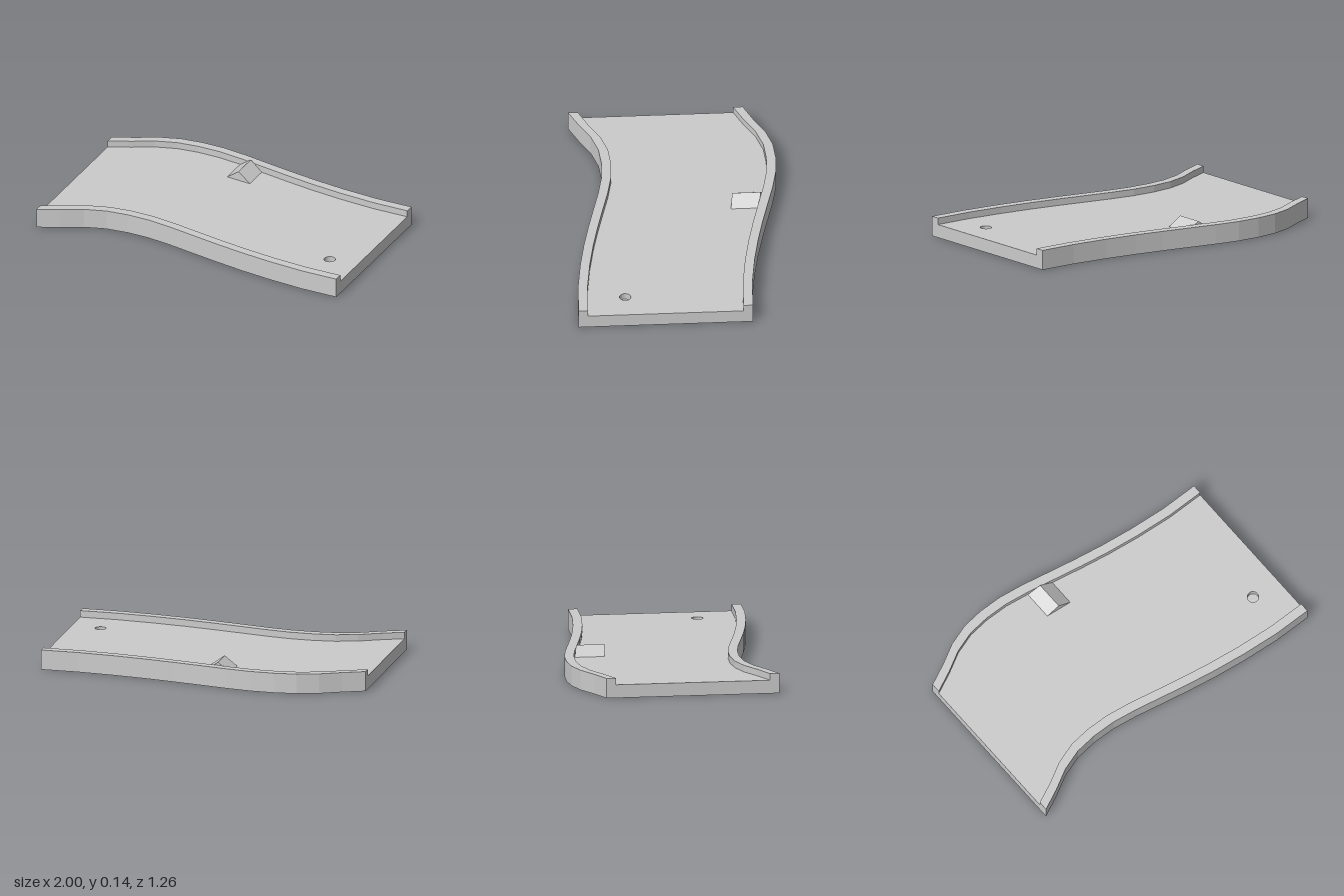
import * as THREE from 'three';

const WIDTH = 1.04, RIM = 0.057, FLOOR = 0.08, TOP = 0.12;

// Back edge of the tray in plan, as [x, z]
const EDGE = [
  [-1, -0.465], [-0.87, -0.521], [-0.745, -0.585], [-0.615, -0.623], [-0.48, -0.633],
  [-0.335, -0.625], [-0.18, -0.597], [-0.01, -0.557], [0.16, -0.518], [0.34, -0.481],
  [0.54, -0.448], [0.77, -0.421], [1, -0.412],
];

// U-shaped section, as [z offset from the back edge, y]
const SECTION = [
  [0, 0], [WIDTH, 0], [WIDTH, TOP], [WIDTH - RIM, TOP],
  [WIDTH - RIM, FLOOR], [RIM, FLOOR], [RIM, TOP], [0, TOP],
];
const FLOOR_SIDE = 4;

function facets(quadsAndTris) {
  const pos = [];
  for (const f of quadsAndTris) {
    for (let i = 1; i < f.length - 1; i++) pos.push(...f[0], ...f[i], ...f[i + 1]);
  }
  const g = new THREE.BufferGeometry();
  g.setAttribute('position', new THREE.Float32BufferAttribute(pos, 3));
  g.computeVertexNormals();
  return g;
}

export function createModel() {
  const model = new THREE.Group();
  const material = new THREE.MeshStandardMaterial({ color: 0xcccccc, flatShading: true });
  const add = (name, geometry, mat = material) => {
    const mesh = new THREE.Mesh(geometry, mat);
    mesh.name = name;
    model.add(mesh);
    return mesh;
  };

  // Underside, outer walls and rims swept along the curved edge
  const faces = [];
  const at = (i, k) => [EDGE[i][0], SECTION[k][1], EDGE[i][1] + SECTION[k][0]];
  for (let k = 0; k < SECTION.length; k++) {
    if (k === FLOOR_SIDE) continue;
    const n = (k + 1) % SECTION.length;
    for (let i = 0; i < EDGE.length - 1; i++) {
      faces.push([at(i, k), at(i + 1, k), at(i + 1, n), at(i, n)]);
    }
  }
  add('trayShell', facets(faces));

  // Flat ends
  for (const side of [-1, 1]) {
    const z0 = EDGE[side < 0 ? 0 : EDGE.length - 1][1];
    const end = new THREE.Shape(SECTION.map(([z, y]) => new THREE.Vector2(-side * (z0 + z), y)));
    const g = new THREE.ShapeGeometry(end).rotateY(side * Math.PI / 2).translate(side, 0, 0);
    add(side < 0 ? 'rightEnd' : 'leftEnd', g);
  }

  // Floor with a round opening
  const hole = { x: 0.82, z: 0.34, r: 0.034, depth: 0.04 };
  const back = EDGE.map(([x, z]) => new THREE.Vector2(x, -(z + RIM)));
  const front = EDGE.map(([x, z]) => new THREE.Vector2(x, -(z + WIDTH - RIM))).reverse();
  const floor = new THREE.Shape([...back, ...front]);
  floor.holes.push(new THREE.Path().absarc(hole.x, -hole.z, hole.r, 0, Math.PI * 2, true));
  add('floor', new THREE.ShapeGeometry(floor, 16).rotateX(-Math.PI / 2).translate(0, FLOOR, 0));

  // Blind hole
  const inside = new THREE.MeshStandardMaterial({ color: 0xcccccc, side: THREE.DoubleSide });
  add('holeWall', new THREE.CylinderGeometry(hole.r, hole.r, hole.depth, 32, 1, true), inside)
    .position.set(hole.x, FLOOR - hole.depth / 2, hole.z);
  add('holeBottom', new THREE.CircleGeometry(hole.r, 32).rotateX(-Math.PI / 2))
    .position.set(hole.x, FLOOR - hole.depth, hole.z);

  // Ridged wedge against the back rim, slightly skewed to follow the curve
  const rib = [[-0.19, FLOOR, -0.54, -0.362], [-0.03, FLOOR, -0.505, -0.34], [-0.11, 0.138, -0.522, -0.351]];
  const b = rib.map(([x, y, z]) => [x, y, z]);
  const f = rib.map(([x, y, , z]) => [x, y, z]);
  add('wedge', facets([
    [f[0], f[1], f[2]], [b[1], b[0], b[2]],
    [f[1], b[1], b[2], f[2]], [b[0], f[0], f[2], b[2]],
  ]));

  return model;
}
